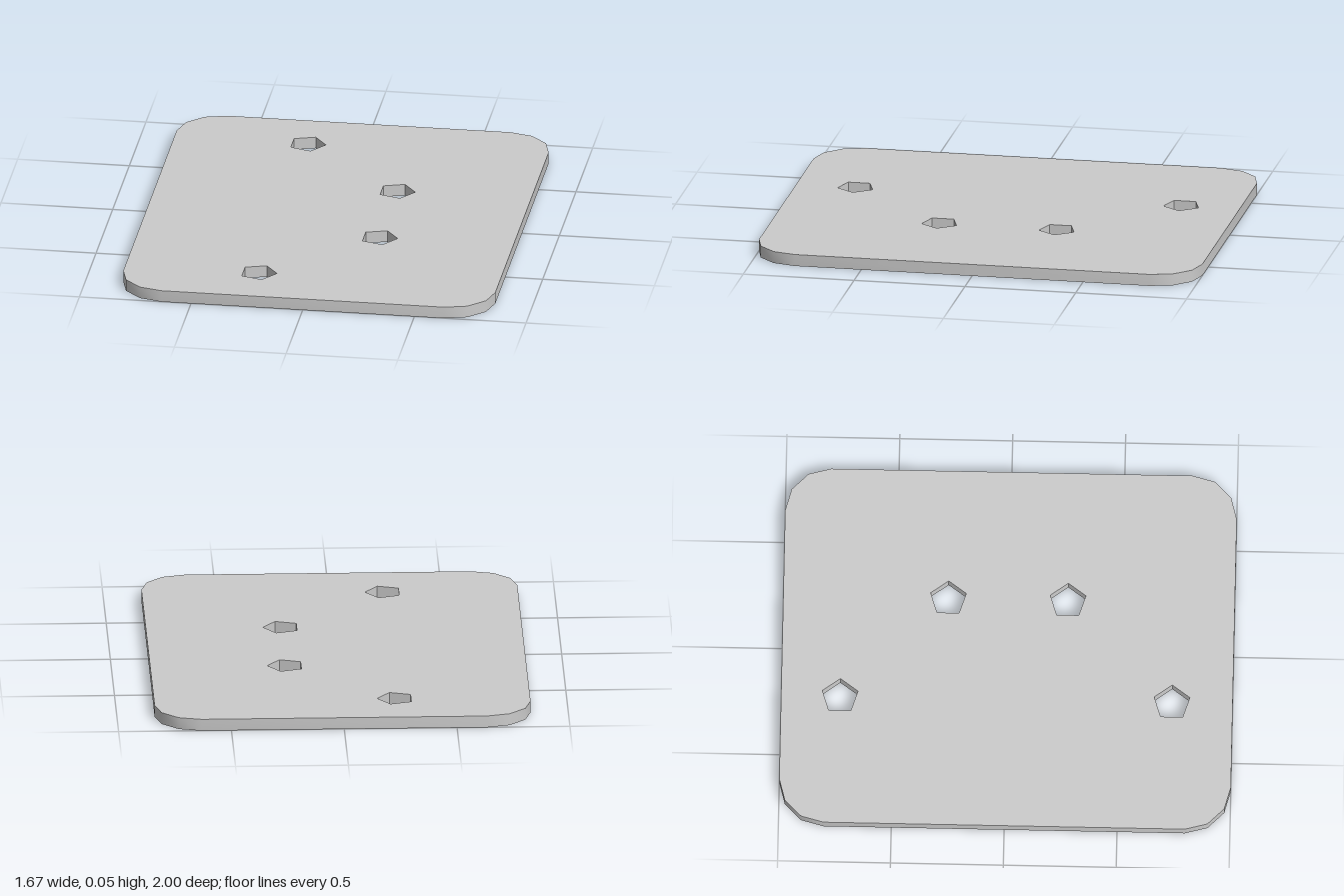
import * as THREE from 'three';
import { toCreasedNormals } from 'three/addons/utils/BufferGeometryUtils.js';

const HALF_WIDTH = 0.833, LENGTH = 1, THICKNESS = 0.053, CORNER = 0.2, HOLE = 0.083;

// Five-sided screw hole with one corner pointing to +x
function screwHole(x, y) {
  const points = [];
  for (let i = 0; i < 5; i++) {
    const a = (i / 5) * Math.PI * 2;
    points.push(new THREE.Vector2(x + HOLE * Math.cos(a), y + HOLE * Math.sin(a)));
  }
  return new THREE.Path(points);
}

// One leaf of the plate: square at the seam, rounded at the outer corners.
// side is +1 for the front leaf and -1 for the back leaf; holes are [x, z].
function leaf(name, side, holes, material) {
  const points = [new THREE.Vector2(-HALF_WIDTH, 0), new THREE.Vector2(HALF_WIDTH, 0)];
  for (const mirror of [1, -1]) {
    for (let i = 0; i <= 3; i++) {
      const a = ((mirror > 0 ? i : 3 - i) * Math.PI) / 6;
      points.push(new THREE.Vector2(
        mirror * (HALF_WIDTH - CORNER + CORNER * Math.cos(a)),
        -side * (LENGTH - CORNER + CORNER * Math.sin(a))
      ));
    }
  }
  const shape = new THREE.Shape(points);
  shape.holes = holes.map(([x, z]) => screwHole(x, -z));

  const solid = new THREE.ExtrudeGeometry(shape, { depth: THICKNESS, bevelEnabled: false });
  solid.rotateX(-Math.PI / 2);
  const mesh = new THREE.Mesh(toCreasedNormals(solid, 0.6), material);
  mesh.name = name;
  return mesh;
}

export function createModel() {
  const group = new THREE.Group();
  group.name = 'hingePlate';
  const material = new THREE.MeshStandardMaterial({ color: 0xcccccc });
  group.add(
    leaf('frontLeaf', 1, [[0.232, 0.261], [-0.238, 0.731]], material),
    leaf('backLeaf', -1, [[0.232, -0.269], [-0.238, -0.739]], material)
  );
  return group;
}
